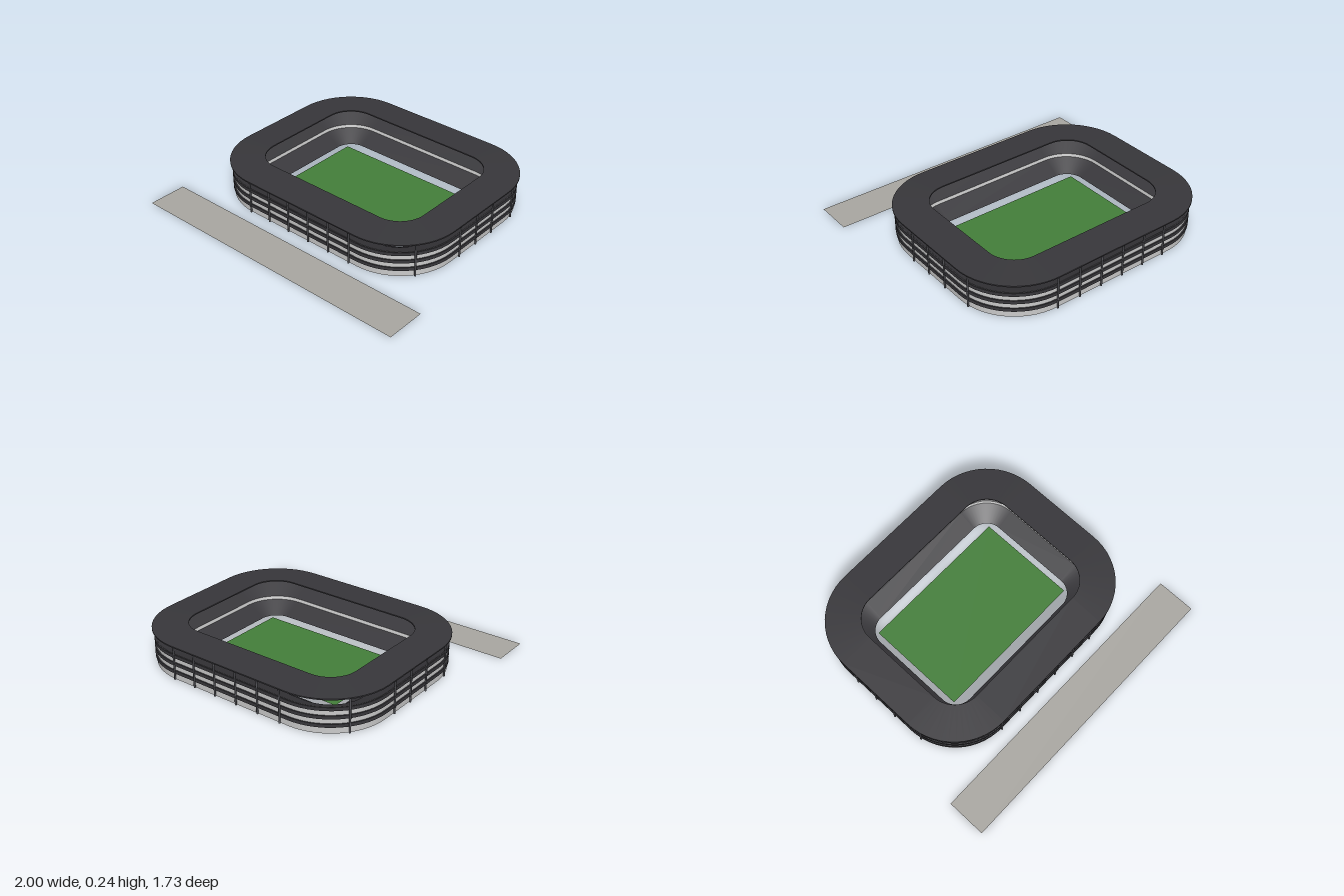
import * as THREE from 'three';

const CX = 0.44, CZ = 0.28;   // half lengths of the straight sides
const MID = -0.172;           // z of the arena centre
const CORNER = 14;            // segments per rounded corner

// Directions and corner centres around the rounded-rectangle plan
function plan() {
  const pts = [];
  [[1, 1], [-1, 1], [-1, -1], [1, -1]].forEach(([sx, sz], q) => {
    for (let i = 0; i <= CORNER; i++) {
      const a = (q + i / CORNER) * Math.PI / 2;
      pts.push({ x: sx * CX, z: sz * CZ, c: Math.cos(a), s: Math.sin(a) });
    }
  });
  return pts;
}

// Sweep a profile of [offset, height] points around the plan, with crisp profile edges
function ring(profile) {
  const pts = plan(), n = pts.length, pos = [], idx = [];
  for (let k = 0; k < profile.length - 1; k++) {
    const base = pos.length / 3;
    for (const p of pts)
      for (const [r, y] of [profile[k], profile[k + 1]]) pos.push(p.x + p.c * r, y, p.z + p.s * r);
    for (let i = 0; i < n; i++) {
      const a = base + i * 2, b = base + ((i + 1) % n) * 2;
      idx.push(a, a + 1, b, b, a + 1, b + 1);
    }
  }
  const g = new THREE.BufferGeometry();
  g.setAttribute('position', new THREE.Float32BufferAttribute(pos, 3));
  g.setIndex(idx);
  g.computeVertexNormals();
  return g;
}

export function createModel() {
  const model = new THREE.Group();
  const arena = new THREE.Group();
  arena.name = 'arena';
  arena.position.z = MID;
  model.add(arena);

  const mat = (color) => new THREE.MeshStandardMaterial({ color, side: THREE.DoubleSide });
  const light = mat(0xcccccc), dark = mat(0x38373b), steel = mat(0x55555a);
  const grass = mat(0x44803a), paving = mat(0xaaa8a2);
  const add = (parent, name, geometry, material, x = 0, y = 0, z = 0) => {
    const m = new THREE.Mesh(geometry, material);
    m.name = name;
    m.position.set(x, y, z);
    parent.add(m);
    return m;
  };

  // Outer wall and its dark horizontal bands
  add(arena, 'outerWall', ring([[0.395, 0], [0.395, 0.173]]), light);
  for (const y of [0.053, 0.107, 0.16]) {
    const lo = y - 0.011, hi = y + 0.011;
    add(arena, 'facadeBand', ring([[0.395, lo], [0.403, lo], [0.403, hi], [0.395, hi]]), dark);
  }

  // Two seating tiers with a pale parapet between them
  add(arena, 'lowerSeating', ring([[0.24, 0.077], [0.12, 0.01]]), dark);
  add(arena, 'tierParapet', ring([[0.245, 0.098], [0.24, 0.077]]), light);
  add(arena, 'upperSeating', ring([[0.395, 0.17], [0.245, 0.098]]), dark);

  // Roof canopy, rising gently to its inner edge
  add(arena, 'roof', ring([
    [0.415, 0.225], [0.415, 0.233], [0.185, 0.243], [0.185, 0.235], [0.415, 0.225],
  ]), dark);

  // Columns carrying the roof, repeated by a half turn
  const R = 0.402;
  const spots = [];
  for (let k = 0; k < 6; k++) spots.push([-CX + k * 0.165, CZ + R]);
  spots.push([CX + R * 0.8, CZ + R * 0.6]);
  for (let k = 0; k < 3; k++) spots.push([CX + R, 0.197 - k * 0.165]);
  spots.push([CX + R * 0.98, -CZ - R * 0.19]);
  const column = new THREE.CylinderGeometry(0.006, 0.006, 0.229, 8);
  for (const side of [1, -1])
    for (const [x, z] of spots) add(arena, 'roofColumn', column, steel, side * x, 0.1145, side * z);

  // Playing field and the paved strip in front
  const pitch = new THREE.PlaneGeometry(1.046, 0.68).rotateX(-Math.PI / 2);
  add(arena, 'pitch', pitch, grass, 0, 0.004, 0.002);
  const strip = new THREE.PlaneGeometry(2, 0.262).rotateX(-Math.PI / 2);
  add(model, 'forecourt', strip, paving, 0, 0, 0.731);

  return model;
}
